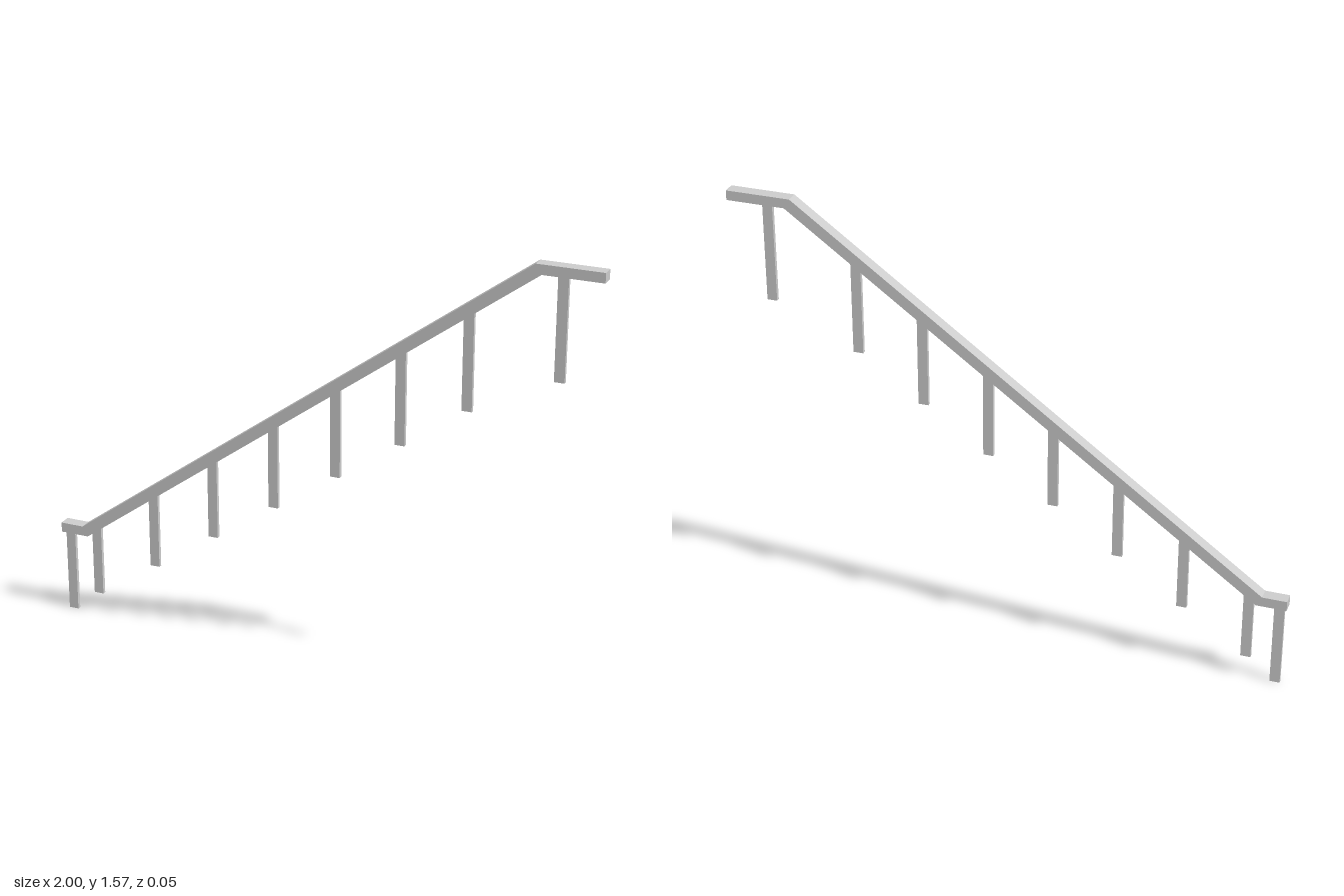
import * as THREE from 'three';

const material = new THREE.MeshStandardMaterial({ color: 0xcccccc, flatShading: true });

// Extrudes a front outline to a given depth, centred on z = 0
function slab(name, points, depth) {
  const shape = new THREE.Shape(points.map(([x, y]) => new THREE.Vector2(x, y)));
  const geometry = new THREE.ExtrudeGeometry(shape, { depth, bevelEnabled: false });
  geometry.translate(0, 0, -depth / 2);
  const mesh = new THREE.Mesh(geometry, material);
  mesh.name = name;
  return mesh;
}

// Underside of the rail, from lower landing to upper landing
const underside = [[-1, 0.311], [-0.893, 0.311], [0.79, 1.537], [1, 1.537]];
const topside = [[1, 1.572], [0.769, 1.572], [-0.913, 0.347], [-1, 0.347]];

function undersideAt(x) {
  const [, [x0, y0], [x1, y1]] = underside;
  return THREE.MathUtils.lerp(y0, y1, THREE.MathUtils.clamp((x - x0) / (x1 - x0), 0, 1));
}

export function createModel() {
  const model = new THREE.Group();
  model.name = 'stairHandrail';

  // Handrail with level ends
  model.add(slab('rail', [...underside, ...topside], 0.045));

  // Posts: centre x, foot height; tops are cut to the rail's slope
  const posts = [
    [-0.972, 0], [-0.864, 0.083], [-0.629, 0.237], [-0.393, 0.396], [-0.158, 0.553],
    [0.075, 0.709], [0.31, 0.866], [0.545, 1.027], [0.858, 1.177],
  ];
  const half = 0.018;
  const group = new THREE.Group();
  group.name = 'posts';
  posts.forEach(([x, foot], i) => {
    const l = x - half, r = x + half;
    group.add(slab(`post${i + 1}`, [[l, foot], [r, foot], [r, undersideAt(r)], [l, undersideAt(l)]], 0.014));
  });
  model.add(group);
  return model;
}
